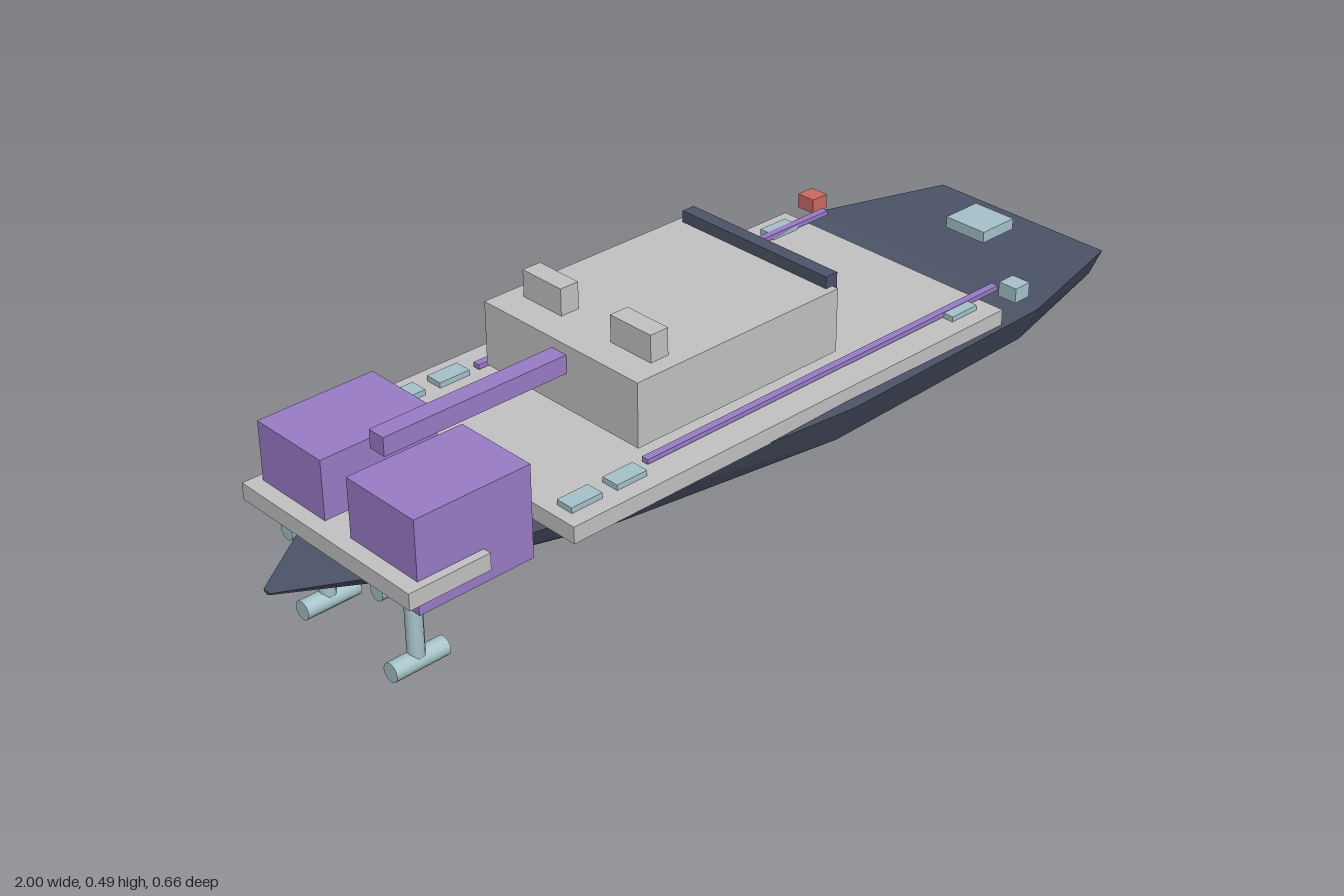
import * as THREE from 'three';

const mat = (name, color, extra = {}) => {
  const m = new THREE.MeshStandardMaterial({ color, ...extra });
  m.name = name;
  return m;
};

export function createModel() {
  const slate = mat('slate', 0x4c5468);
  const grey = mat('light grey', 0xc3c3c3);
  const purple = mat('purple', 0x9a7cc8);
  const teal = mat('pale teal', 0xa6c4ca);
  const red = mat('red', 0xcc6a62);
  const boat = new THREE.Group();
  boat.name = 'boat';

  const add = (name, geometry, material) => {
    const mesh = new THREE.Mesh(geometry, material);
    mesh.name = name;
    boat.add(mesh);
    return mesh;
  };
  // Box from its limits on each axis
  const box = (name, material, [x0, x1], [y0, y1], [z0, z1]) =>
    add(name, new THREE.BoxGeometry(x1 - x0, y1 - y0, z1 - z0), material)
      .position.set((x0 + x1) / 2, (y0 + y1) / 2, (z0 + z1) / 2);

  add('hull', hullGeometry(), slate);

  // Deck and superstructure
  box('deck', grey, [-0.565, 0.575], [0.243, 0.278], [-0.303, 0.303]);
  box('cabin', grey, [-0.33, 0.187], [0.297, 0.433], [-0.212, 0.212]);
  box('windshield', slate, [0.17, 0.2], [0.35, 0.458], [-0.197, 0.197]);
  box('boom', purple, [-0.75, -0.33], [0.373, 0.412], [-0.02, 0.02]);
  box('sternPlatform', grey, [-0.878, -0.7], [0.222, 0.257], [-0.24, 0.24]);
  box('bowHatch', teal, [0.812, 0.908], [0.252, 0.277], [-0.052, 0.052]);

  // Paired fittings
  for (const s of [1, -1]) {
    const side = (a, b) => (s > 0 ? [a, b] : [-b, -a]);
    const label = s > 0 ? 'Near' : 'Far';
    box('roofVent' + label, grey, [-0.264, -0.221], [0.43, 0.49], side(0.068, 0.176));
    box('engine' + label, purple, [-0.845, -0.59], [0.187, 0.381], side(0.037, 0.222));
    box('rail' + label, purple, [-0.337, 0.628], [0.281, 0.291], side(0.229, 0.245));
    for (const x of [-0.503, -0.396, 0.5])
      box('cleat' + label, teal, [x - 0.036, x + 0.036], [0.276, 0.2895], side(0.229, 0.268));
    box('bowLight' + label, s > 0 ? teal : red, [0.614, 0.656], [0.278, 0.31], side(0.259, 0.303));

    // Drive leg with shaft and propeller pod
    add('driveLeg' + label, new THREE.CylinderGeometry(0.017, 0.017, 0.18, 12), teal)
      .position.set(-0.79, 0.11, s * 0.13);
    const pod = add('drivePod' + label, new THREE.CylinderGeometry(0.02, 0.02, 0.12, 12), teal);
    pod.rotation.z = Math.PI / 2;
    pod.position.set(-0.788, 0.02, s * 0.13);
    const shaft = add('driveShaft' + label, new THREE.CylinderGeometry(0.018, 0.018, 0.12, 12), teal);
    shaft.rotation.z = Math.PI / 2;
    shaft.position.set(-0.805, 0.2, s * 0.13);
  }
  return boat;
}

// Hard-chine hull lofted through cross-sections from stern to bow
function hullGeometry() {
  // x, deck half-width, deck y, chine half-width, chine y, keel y
  const sections = [
    [-1, 0.01, 0.201, 0.008, 0.197, 0.193],
    [-0.8, 0.14, 0.215, 0.115, 0.187, 0.162],
    [-0.4, 0.262, 0.237, 0.22, 0.17, 0.126],
    [0.12, 0.33, 0.25, 0.283, 0.158, 0.105],
    [0.68, 0.31, 0.242, 0.268, 0.158, 0.113],
    [1, 0.224, 0.231, 0.195, 0.166, 0.133],
  ];
  const rings = sections.map(([x, w, y, cw, cy, ky]) =>
    [[x, y, w], [x, cy, cw], [x, ky, 0], [x, cy, -cw], [x, y, -w]]);
  const points = [];
  const tri = (...corners) => corners.forEach((c) => points.push(...c));
  for (let i = 0; i < rings.length - 1; i++) {
    const a = rings[i], b = rings[i + 1];
    for (let j = 0; j < 5; j++) {
      const k = (j + 1) % 5;
      tri(a[j], a[k], b[k]);
      tri(a[j], b[k], b[j]);
    }
  }
  // End caps
  const stern = rings[0], bow = rings[rings.length - 1];
  for (let j = 1; j < 4; j++) {
    tri(bow[0], bow[j], bow[j + 1]);
    tri(stern[0], stern[j + 1], stern[j]);
  }
  const g = new THREE.BufferGeometry();
  g.setAttribute('position', new THREE.Float32BufferAttribute(points, 3));
  g.computeVertexNormals();
  return g;
}
